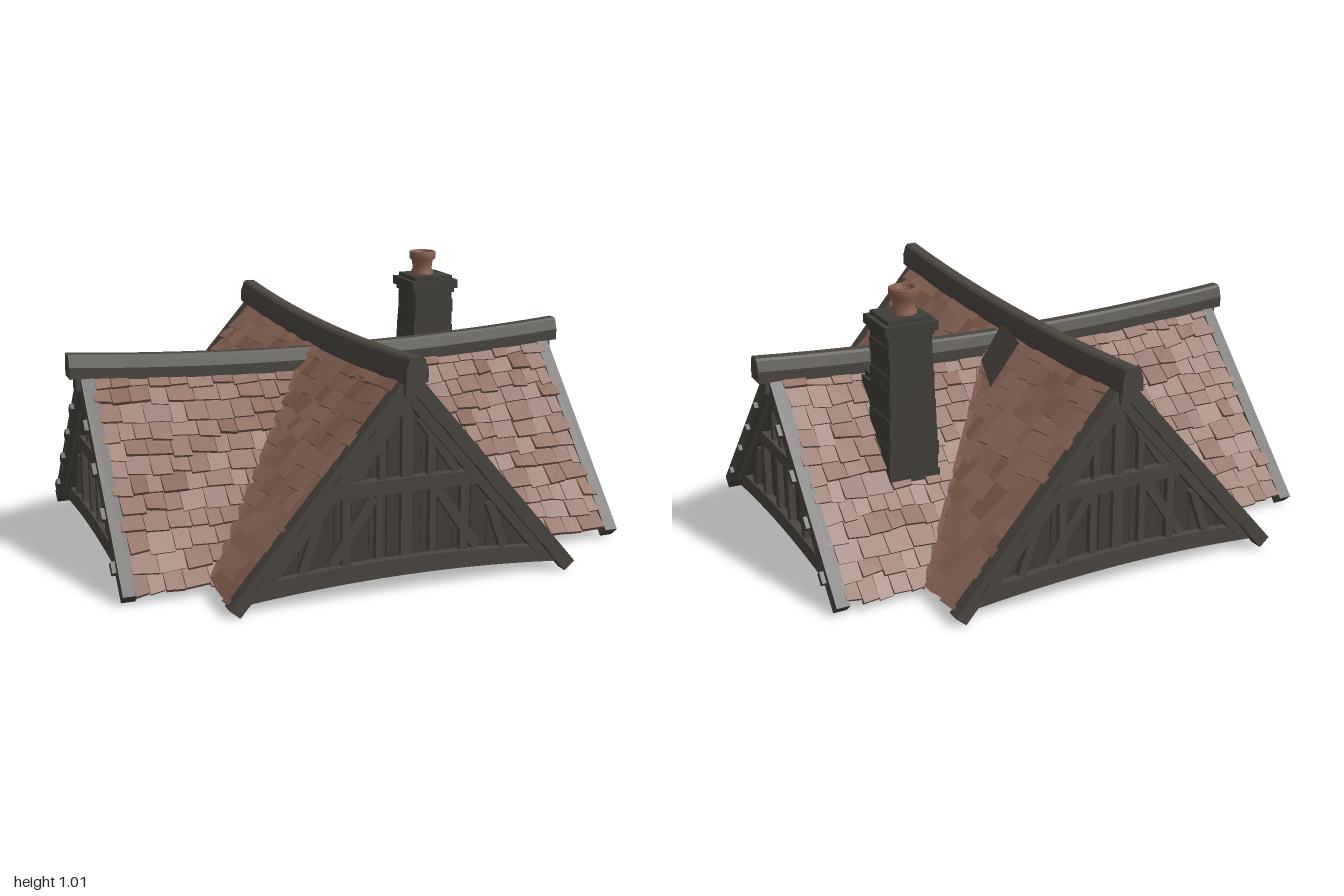
import * as THREE from 'three';

const mat = (name, color, side = THREE.FrontSide) => {
  const m = new THREE.MeshStandardMaterial({ color, side });
  m.name = name;
  return m;
};
const M = {
  tile: mat('clay tile', 0x8a6556, THREE.DoubleSide),
  tileDark: mat('dark clay tile', 0x805b4d, THREE.DoubleSide),
  wood: mat('timber', 0x4a4640),
  board: mat('wall board', 0x423e39),
  stone: mat('chimney stone', 0x413e39),
  patch: mat('lead patch', 0x433e39, THREE.DoubleSide),
  pot: mat('chimney pot clay', 0x8c6252),
};

let seed = 7;
const rnd = () => (seed = (seed * 16807) % 2147483647) / 2147483647;
const jit = (r) => (rnd() * 2 - 1) * r;

function add(parent, name, geo, material, x = 0, y = 0, z = 0) {
  const m = new THREE.Mesh(geo, material);
  m.name = name;
  m.position.set(x, y, z);
  parent.add(m);
  return m;
}
const box = (p, name, material, w, h, d, x, y, z) =>
  add(p, name, new THREE.BoxGeometry(w, h, d), material, x, y, z);

// Flat timber between two points in the gable plane
function beam(p, name, x1, y1, x2, y2, w, d, z) {
  const m = box(p, name, M.wood, Math.hypot(x2 - x1, y2 - y1), w, d, (x1 + x2) / 2, (y1 + y2) / 2, z);
  m.rotation.z = Math.atan2(y2 - y1, x2 - x1);
}

// Bar between two points in space
function bar(p, name, material, a, b, w, h) {
  const m = box(p, name, material, w, h, a.distanceTo(b), 0, 0, 0);
  m.position.copy(a).lerp(b, 0.5);
  m.lookAt(b);
}

const EAVE = 0.03;
// Two crossing roof wings: half width, tiled half length, ridge half length, ridge top curve
const LONG = {
  name: 'longWing', half: 0.625, len: 0.815, ridge: 0.89, mid: 0.725, rows: 13,
  top: (a) => 0.787 + 0.043 * a * a + 0.01 * a,
  collar: [0.375, 0.29],
  braces: [[0, 0.12, 0, 0.68, 0.04], [0.09, 0.39, 0.09, 0.55, 0.025], [0.19, 0.4, 0.05, 0.6, 0.03],
    [0.1, 0.12, 0.1, 0.35, 0.025], [0.27, 0.12, 0.12, 0.34, 0.035], [0.22, 0.11, 0.22, 0.35, 0.03],
    [0.38, 0.1, 0.32, 0.27, 0.03]],
};
const CROSS = {
  name: 'crossWing', half: 0.595, len: 0.92, ridge: 1.0, mid: 0.635, rows: 12,
  top: (a) => 0.697 + 0.042 * a * a,
  collar: [0.355, 0.26],
  braces: [[0, 0.38, 0, 0.63, 0.03], [0.19, 0.38, 0.02, 0.6, 0.035], [0.08, 0.38, 0.08, 0.5, 0.025],
    [0.06, 0.1, 0.06, 0.33, 0.03], [0.21, 0.1, 0.21, 0.33, 0.035], [0.34, 0.09, 0.27, 0.28, 0.03]],
};

// Point on a slope: side s, position a along the ridge, t from ridge to eave, lift off the surface
function slopePoint(w, s, a, t, lift) {
  const yr = w.top(a) - 0.06, H = yr - EAVE, n = Math.hypot(H, w.half);
  return [s * (w.half * t + lift * H / n), yr - H * t + lift * w.half / n, a];
}
// Distance from the crossing at which this slope meets the other wing
function valley(w, o, t) {
  const y = w.mid - (w.mid - EAVE) * t;
  return Math.max(0, o.half * (o.mid - y) / (o.mid - EAVE));
}
const quad = (out, a, b, c, d) => out.push(...a, ...b, ...c, ...a, ...c, ...d);
function surface(positions) {
  const g = new THREE.BufferGeometry();
  g.setAttribute('position', new THREE.Float32BufferAttribute(positions, 3));
  g.computeVertexNormals();
  return g;
}

function roofTiles(group, w, o) {
  const deck = [], tiles = [[], []];
  for (const s of [-1, 1]) for (const e of [-1, 1]) for (let i = 0; i < w.rows; i++) {
    const t0 = i / w.rows, t1 = (i + 1) / w.rows, v0 = valley(w, o, t0), v1 = valley(w, o, t1);
    // Decking under the tiles
    for (let k = 0; k < 6; k++) {
      const at = (v, f) => e * (v + (w.len - v) * f / 6);
      quad(deck, slopePoint(w, s, at(v0, k), t0, 0), slopePoint(w, s, at(v0, k + 1), t0, 0),
        slopePoint(w, s, at(v1, k + 1), t1, 0), slopePoint(w, s, at(v1, k), t1, 0));
    }
    // One course of uneven tiles, cut at the valley
    let q = w.len + jit(0.012);
    while (q > Math.min(v0, v1)) {
      const q0 = Math.max(0, q - 0.075 - jit(0.025)), tb = t1 + 0.012 + jit(0.012);
      const vb = valley(w, o, tb), lift = 0.017 + jit(0.007), skew = jit(0.006);
      const A = e * Math.max(q - 0.003, v0), B = e * Math.max(q0, v0);
      const C = e * Math.max(q0, vb), D = e * Math.max(q - 0.003, vb);
      const up = [[A, t0, 0.004], [B, t0, 0.004], [C, tb + skew, lift], [D, tb - skew, lift]]
        .map(([a, t, l]) => slopePoint(w, s, a, t, l));
      const lo = [[A, t0], [B, t0], [C, tb + skew], [D, tb - skew]]
        .map(([a, t]) => slopePoint(w, s, a, t, 0));
      const out = tiles[rnd() < 0.2 ? 1 : 0];
      quad(out, ...up);
      for (let k = 1; k < 4; k++) quad(out, up[k], up[(k + 1) % 4], lo[(k + 1) % 4], lo[k]);
      q = q0;
    }
  }
  add(group, 'roofDeck', surface(deck), M.tile);
  add(group, 'roofTiles', surface(tiles[0]), M.tile);
  add(group, 'darkRoofTiles', surface(tiles[1]), M.tileDark);
}

// Sagging ridge beam with chamfered top
function ridgeBeam(group, w) {
  const s = new THREE.Shape([[-0.04, -0.088], [0.04, -0.088], [0.04, -0.045], [0.028, -0.008], [0.018, 0],
    [-0.018, 0], [-0.028, -0.008], [-0.04, -0.045]].map(([x, y]) => new THREE.Vector2(x, y)));
  const g = new THREE.ExtrudeGeometry(s, { depth: 2 * w.ridge, steps: 18, bevelEnabled: false });
  g.translate(0, 0, -w.ridge);
  const p = g.attributes.position;
  for (let i = 0; i < p.count; i++) p.setY(i, p.getY(i) + w.top(p.getZ(i)));
  g.computeVertexNormals();
  add(group, 'ridgeBeam', g, M.wood);
}

// Timber-framed gable, facing local +z
function gable(w, end) {
  const g = new THREE.Group();
  g.name = 'gable';
  const yr = w.top(end * w.len) - 0.06, H = yr - EAVE, n = Math.hypot(H, w.half);
  const lineY = (x) => yr - H * Math.abs(x) / w.half - 0.01;
  const extrude = (s, depth) => new THREE.ExtrudeGeometry(s, { depth, bevelEnabled: false });
  // Vertical wall boards
  const count = 18, bw = 2 * (w.half - 0.05) / count;
  for (let i = 0; i < count; i++) {
    const x0 = (i - count / 2) * bw, x1 = x0 + bw - 0.002;
    const s = new THREE.Shape([[x0, 0.05], [x1, 0.05], [x1, lineY(x1)], [x0, lineY(x0)]]
      .map(([x, y]) => new THREE.Vector2(x, y)));
    add(g, 'wallBoard', extrude(s, 0.016 + jit(0.004)), M.board, 0, 0, w.len - 0.035);
  }
  // Bowed tie beam
  const e = w.half - 0.03, tie = new THREE.Shape();
  tie.moveTo(-e, 0.02);
  tie.quadraticCurveTo(0, 0.08, e, 0.02);
  tie.lineTo(e - 0.06, 0.085);
  tie.quadraticCurveTo(0, 0.14, -e + 0.06, 0.085);
  add(g, 'tieBeam', extrude(tie, 0.05), M.wood, 0, 0, w.len - 0.04);
  // Collar, posts and braces
  const [cy, cx] = w.collar;
  beam(g, 'collarBeam', -cx, cy, cx, cy, 0.05, 0.04, w.len - 0.005);
  for (const [x1, y1, x2, y2, t] of w.braces)
    for (const s of x1 ? [-1, 1] : [1]) beam(g, 'brace', s * x1, y1, s * x2, y2, t, 0.025, w.len - 0.008);
  // Barge boards with inner rafters and pegs
  for (const s of [-1, 1]) {
    const at = (f, off) => [s * (w.half * f + off * H / n), yr - H * f + off * w.half / n];
    beam(g, 'bargeBoard', ...at(1.02, -0.012), ...at(0, -0.012), 0.05, 0.05, w.len + 0.015);
    beam(g, 'innerRafter', ...at(0.93, -0.052), ...at(0.06, -0.052), 0.036, 0.04, w.len);
    for (const f of [0.25, 0.45, 0.65, 0.88]) {
      const a = at(f - 0.025, -0.024), b = at(f + 0.025, -0.024);
      beam(g, 'peg', ...a, ...b, 0.025, 0.02, w.len + 0.045);
    }
  }
  box(g, 'apexBlock', M.wood, 0.065, 0.08, 0.06, 0, yr - 0.03, w.len + 0.025);
  if (end < 0) g.rotation.y = Math.PI;
  return g;
}

function wing(w, o) {
  const g = new THREE.Group();
  g.name = w.name;
  roofTiles(g, w, o);
  ridgeBeam(g, w);
  g.add(gable(w, 1), gable(w, -1));
  return g;
}

function chimney() {
  const g = new THREE.Group();
  g.name = 'chimney';
  // Uneven stone courses, slightly tapered
  for (let i = 0; i < 14; i++) {
    const y = 0.12 + i * 0.053, w = 0.2 - 0.035 * i / 13;
    box(g, 'stoneCourse', M.stone, w + jit(0.005), 0.0535, w + jit(0.005), jit(0.002), y + 0.0265, jit(0.002));
  }
  box(g, 'capLower', M.stone, 0.178, 0.02, 0.178, 0, 0.848, 0);
  box(g, 'capSlab', M.stone, 0.2, 0.034, 0.2, 0, 0.873, 0);
  box(g, 'capTop', M.stone, 0.165, 0.018, 0.165, 0, 0.897, 0);
  // Hollow clay pot
  const profile = [[0.046, 0.9], [0.046, 0.918], [0.039, 0.93], [0.043, 0.962], [0.054, 0.972], [0.054, 0.998],
    [0.05, 1.0], [0.036, 1.0], [0.034, 0.93], [0, 0.93]].map(([x, y]) => new THREE.Vector2(x, y));
  add(g, 'chimneyPot', new THREE.LatheGeometry(profile, 20), M.pot, -0.012, 0, -0.005);
  // Stone saddle against the ridge
  box(g, 'saddle', M.stone, 0.18, 0.12, 0.11, -0.015, 0.565, 0.145);
  box(g, 'saddleStep', M.stone, 0.09, 0.1, 0.08, 0.02, 0.595, 0.15);
  g.position.set(0.54, 0, -0.243);
  return g;
}

export function createModel() {
  seed = 7;
  const root = new THREE.Group();
  root.name = 'crossGabledRoof';
  const long = wing(LONG, CROSS), cross = wing(CROSS, LONG);
  long.position.x = -0.013;
  cross.position.z = 0.007;
  cross.rotation.y = Math.PI / 2;
  root.add(long, cross, chimney());

  // Dark patch beside the crossing
  const patch = [];
  quad(patch, ...[[-0.02, 0.02], [-0.2, 0.06], [-0.22, 0.27], [-0.06, 0.2]]
    .map(([a, t]) => slopePoint(LONG, 1, a, t, 0.026)));
  add(long, 'leadPatch', surface(patch), M.patch);

  // Valley rafters below and flashing strips above
  for (const sx of [-1, 1]) for (const sz of [-1, 1]) {
    const pt = (x, y, z) => new THREE.Vector3(sx * x - 0.013, y, sz * z + 0.007);
    bar(root, 'valleyRafter', M.wood, pt(0.6, 0.02, 0.57), pt(0.07, 0.6, 0.02), 0.045, 0.035);
    bar(root, 'valleyFlashing', M.tileDark, pt(0.625, 0.04, 0.595), pt(0.08, 0.645, 0.01), 0.022, 0.022);
  }
  return root;
}
